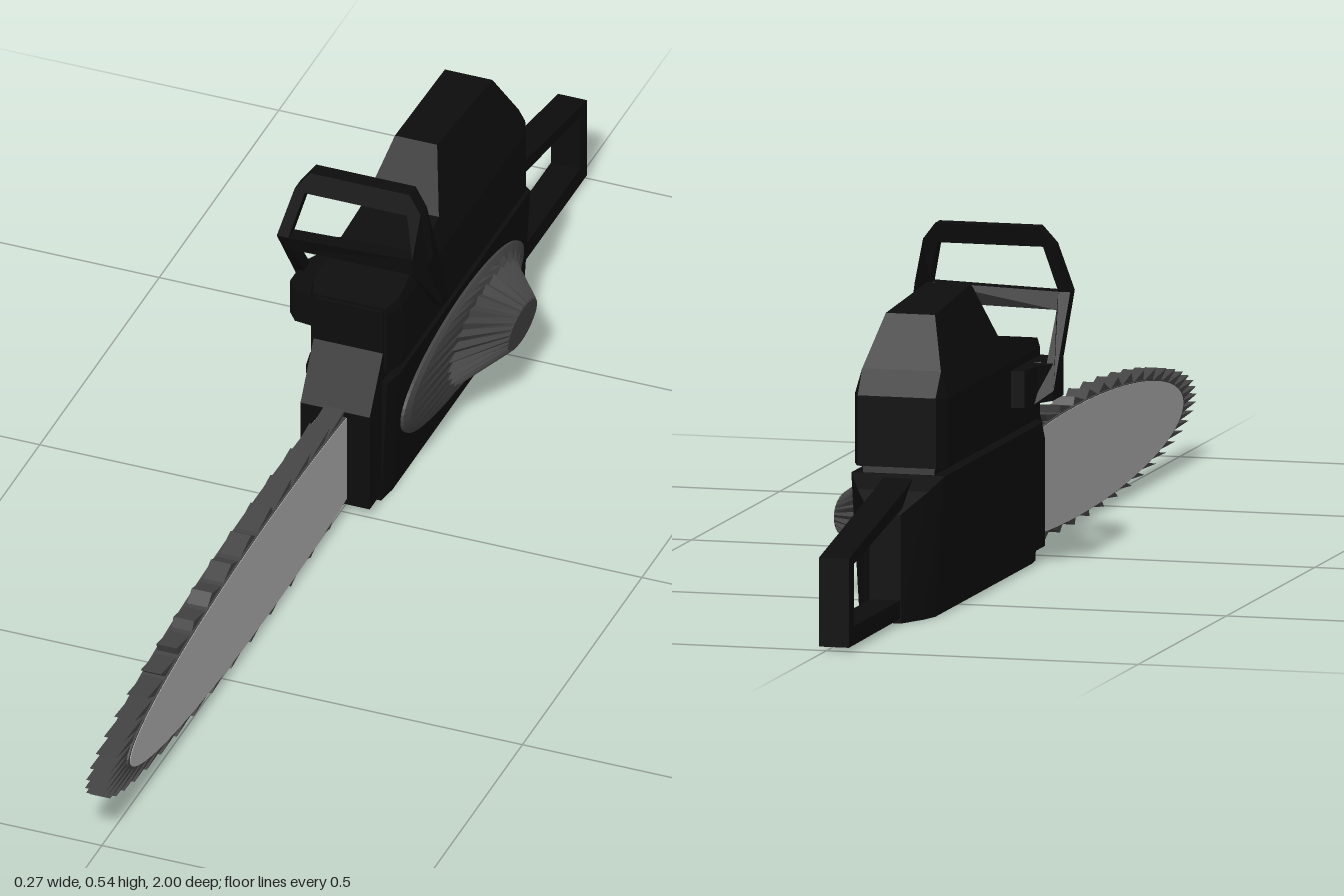
import * as THREE from 'three';

const mat = (color) => new THREE.MeshStandardMaterial({ color, flatShading: true });
const black = mat(0x0d0d0d), dark = mat(0x444444), steel = mat(0xb0b0b0);

// Flat-sided loft: rings of [x, y, z], counter-clockwise seen from the first ring's side
function loft(rings) {
  const pos = [];
  const tri = (...p) => p.forEach((v) => pos.push(...v));
  const n = rings[0].length;
  for (let s = 0; s < rings.length - 1; s++) {
    for (let i = 0; i < n; i++) {
      const j = (i + 1) % n;
      const a = rings[s][i], b = rings[s][j], c = rings[s + 1][j], d = rings[s + 1][i];
      tri(a, d, c);
      tri(a, c, b);
    }
  }
  const first = rings[0], last = rings[rings.length - 1];
  for (let i = 1; i < n - 1; i++) {
    tri(first[0], first[i], first[i + 1]);
    tri(last[0], last[i + 1], last[i]);
  }
  const g = new THREE.BufferGeometry();
  g.setAttribute('position', new THREE.Float32BufferAttribute(pos, 3));
  g.computeVertexNormals();
  return g;
}

function extrude(points, depth, hole) {
  const toV = (list) => list.map(([u, v]) => new THREE.Vector2(u, v));
  const shape = new THREE.Shape(toV(points));
  if (hole) shape.holes.push(new THREE.Path(toV(hole)));
  return new THREE.ExtrudeGeometry(shape, { depth, bevelEnabled: false });
}

// Side profile given as [z, y], spanning x0..x1
const sidePlate = (points, x0, x1, hole) =>
  extrude(points, x1 - x0, hole).rotateY(-Math.PI / 2).translate(x1, 0, 0);

export function createModel() {
  const model = new THREE.Group();
  const add = (name, geometry, material) => {
    const m = new THREE.Mesh(geometry, material);
    m.name = name;
    model.add(m);
  };

  // Narrow core that shows at the nose and in the seam between the shells
  add('bodyCore', sidePlate([[0, 0.015], [0, 0.185], [-0.055, 0.27], [-0.055, 0.345],
    [-0.2, 0.35], [-0.6, 0.32], [-0.63, 0.2], [-0.63, 0.015]].reverse(), -0.067, 0.048), black);

  // Lower shell: [z, bottom y, top y, bottom x0, x1, top x0, x1]
  const lower = [
    [-0.05, 0, 0.22, -0.066, 0.047, -0.078, 0.058],
    [-0.085, 0, 0.22, -0.07, 0.052, -0.085, 0.065],
    [-0.63, 0, 0.22, -0.07, 0.052, -0.085, 0.065],
    [-0.665, 0, 0.2, -0.06, 0.036, -0.068, 0.045],
    [-0.71, 0, 0.17, -0.037, 0.013, -0.037, 0.013],
  ];
  add('lowerShell', loft(lower.map(([z, b, t, a0, a1, c0, c1]) =>
    [[a0, b, z], [a1, b, z], [c1, t, z], [c0, t, z]])), black);

  // Upper cover: sides are upright to y = 0.34, then lean in toward the top
  const cover = [[-0.06, 0.35, 0.012], [-0.09, 0.355, 0], [-0.28, 0.385, 0], [-0.34, 0.475, 0],
    [-0.56, 0.46, 0], [-0.61, 0.38, 0], [-0.638, 0.342, 0.012]];
  add('upperCover', loft(cover.map(([z, top, inset]) => {
    const k = (top - 0.34) / 0.135;
    const l = -0.085 + inset, r = 0.065 - inset;
    const tl = l + 0.04 * k, tr = r - 0.04 * k;
    return [[l, 0.232, z], [r, 0.232, z], [r, 0.34, z], [tr, top, z], [tl, top, z], [l, 0.34, z]];
  })), black);

  // Rear grip loop
  add('rearHandle', sidePlate(
    [[-0.62, 0.22], [-0.62, 0.008], [-1, 0.006], [-1, 0.145], [-0.68, 0.205]],
    -0.036, 0.012,
    [[-0.675, 0.182], [-0.97, 0.133], [-0.97, 0.036], [-0.7, 0.036]]), black);

  // Bracket on the left flank that carries the hand guard
  add('guardBracket', extrude([[-0.07, 0.085], [-0.112, 0.09], [-0.128, 0.11], [-0.128, 0.17],
    [-0.112, 0.2], [-0.105, 0.25], [-0.07, 0.26]], 0.058)
    .rotateX(-Math.PI / 2).translate(0, 0.27, 0), black);

  // Hand guard: flat frame bent along its height
  const guard = extrude(
    [[-0.137, 0.29], [-0.11, 0.27], [-0.08, 0.27], [-0.08, 0.325], [-0.108, 0.33], [-0.118, 0.322],
      [-0.118, 0.403], [0.087, 0.407], [0.09, 0.308], [0.108, 0.31], [0.112, 0.435],
      [0.092, 0.508], [0.07, 0.535], [-0.095, 0.535], [-0.117, 0.507], [-0.137, 0.43]],
    0.026,
    [[-0.118, 0.43], [-0.1, 0.503], [0.07, 0.503], [0.087, 0.437]]);
  const p = guard.attributes.position;
  for (let i = 0; i < p.count; i++) {
    const d = p.getY(i) - 0.42;
    p.setZ(i, p.getZ(i) - 0.1 - (d > 0 ? d * 0.32 : -d * 0.75));
  }
  guard.computeVertexNormals();
  add('handGuard', guard, black);

  // Pleated oval starter housing on the right-hand flank of the body
  const seg = 56;
  const oval = (x, cz, rz, ry, pleat = 0) => Array.from({ length: seg }, (_, i) => {
    const t = (i / seg) * Math.PI * 2;
    const k = i % 2 ? 1 - pleat : 1;
    const y = 0.12 + ry * k * Math.sin(t);
    return [x + 0.06 * (y - 0.12), y, cz - rz * k * Math.cos(t)];
  });
  add('starterHousing', loft([
    oval(0.136, -0.418, 0.06, 0.031),
    oval(0.134, -0.418, 0.064, 0.034, 0.08),
    oval(0.078, -0.4, 0.15, 0.074, 0.14),
    oval(0.069, -0.353, 0.235, 0.08),
    oval(0.064, -0.353, 0.253, 0.086),
    oval(0.045, -0.353, 0.253, 0.086),
  ]), dark);

  // Guide bar and chain: arcs of a circle stretched along z, ending inside the body
  const reach = 2.1;
  const arcPoint = (r, t) => [0.3 + 7 * r * Math.cos(t), 0.1 + r * Math.sin(t)];
  const arc = (r, n) => Array.from({ length: n + 1 }, (_, i) =>
    arcPoint(r, -reach + (2 * reach * i) / n));
  add('guideBar', sidePlate(arc(0.0865, 64), -0.033, 0.01), steel);
  add('chainBand', sidePlate(arc(0.0875, 64), -0.032, 0.009), dark);

  // Saw-tooth outline with slanted backs
  const teeth = [], step = 0.12;
  for (let i = -17; i <= 17; i++) {
    const t = i * step;
    teeth.push(arcPoint(0.087, t - step * 0.8), arcPoint(0.1, t), arcPoint(0.087, t + step * 0.1));
  }
  add('chainTeeth', sidePlate(teeth, -0.028, 0.006), dark);

  return model;
}
